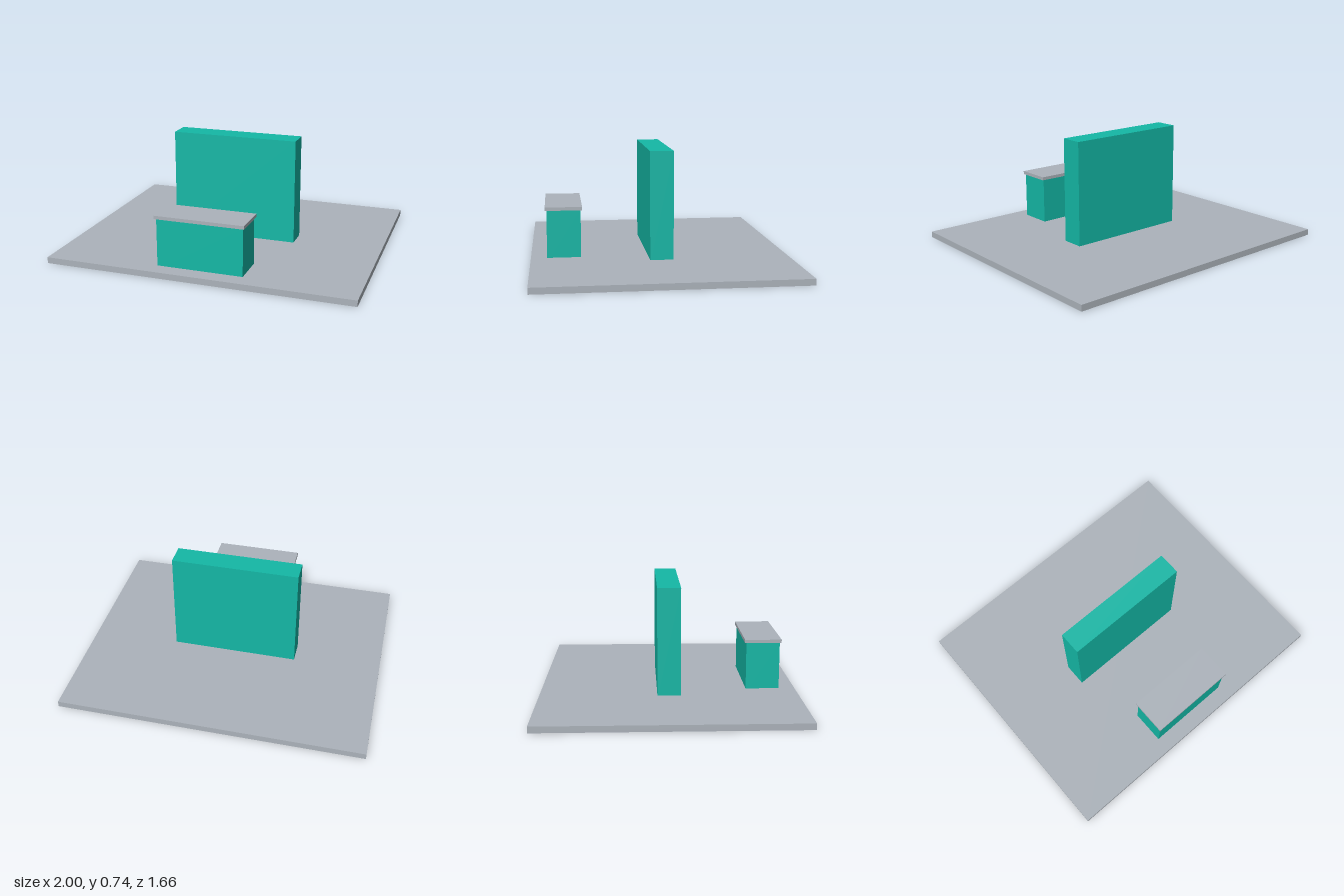
import * as THREE from 'three';

export function createModel() {
  const model = new THREE.Group();
  model.name = 'boothStand';

  const teal = new THREE.MeshStandardMaterial({ color: 0x14b8a6 });
  teal.name = 'teal';
  const grey = new THREE.MeshStandardMaterial({ color: 0xacb3bb });
  grey.name = 'light grey';

  // Box centred on x, spanning y0..y1 and z0..z1
  function addBox(name, width, y0, y1, z0, z1, material) {
    const mesh = new THREE.Mesh(new THREE.BoxGeometry(width, y1 - y0, z1 - z0), material);
    mesh.name = name;
    mesh.position.set(0, (y0 + y1) / 2, (z0 + z1) / 2);
    model.add(mesh);
  }

  // Floor plate
  addBox('floor', 2, 0, 0.04, -0.83, 0.83, grey);

  // Upright wall, set slightly into the floor
  addBox('backWall', 0.84, 0.01, 0.735, -0.075, 0.075, teal);

  // Counter with an overhanging top
  addBox('counterBody', 0.56, 0.01, 0.348, 0.508, 0.726, teal);
  addBox('counterTop', 0.583, 0.348, 0.37, 0.498, 0.736, grey);

  return model;
}
